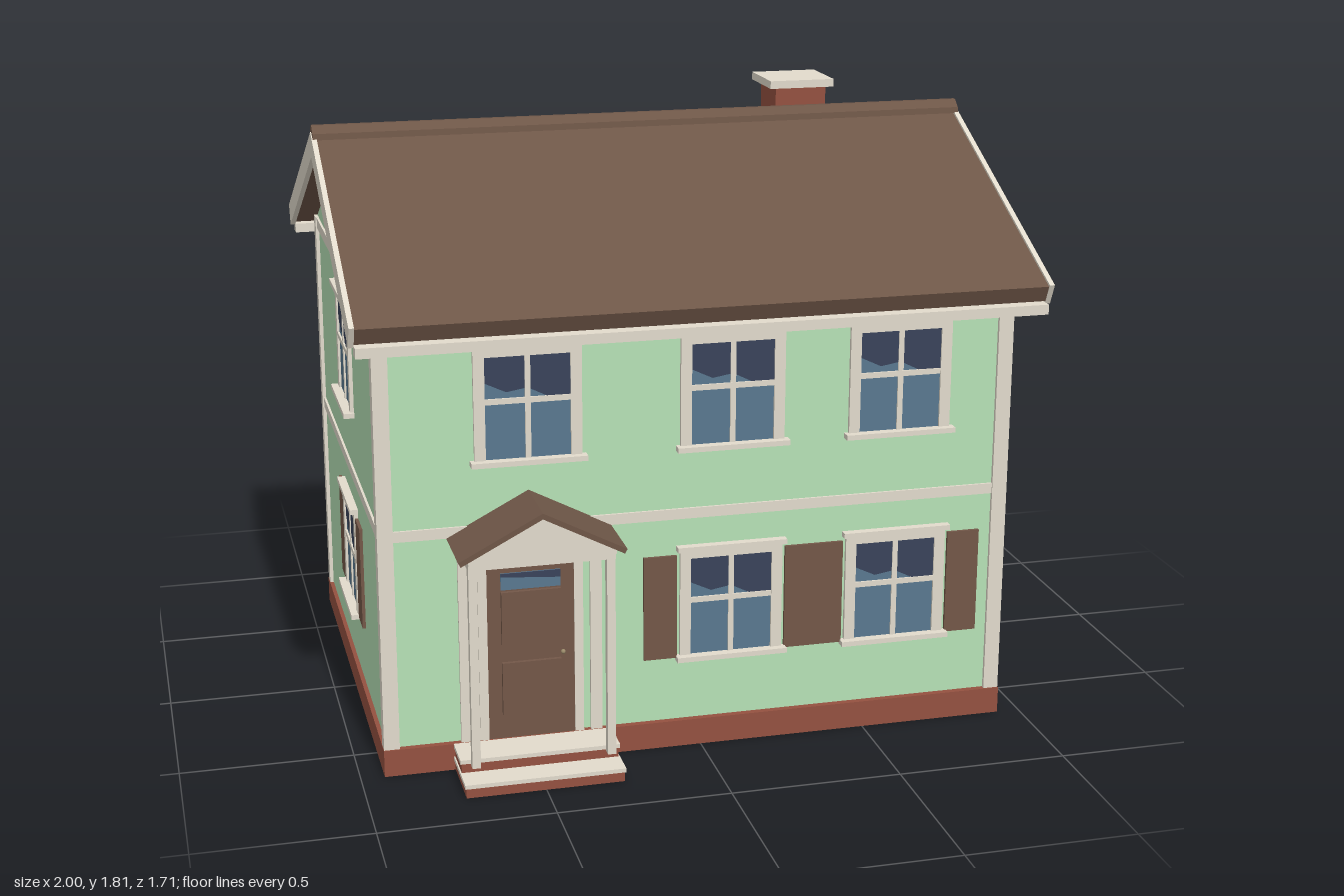
import * as THREE from 'three';

const paint = (name, color, side = THREE.FrontSide) => {
  const m = new THREE.MeshStandardMaterial({ color, side });
  m.name = name;
  return m;
};

export function createModel() {
  const siding = paint('green siding', 0xb6e1b6);
  const trim = paint('cream trim', 0xe2dbcc);
  const brick = paint('red brick', 0x945140, THREE.DoubleSide);
  const shingle = paint('brown shingle', 0x6e5647);
  const wood = paint('brown wood', 0x735748);
  const glass = paint('blue glass', 0x59788f);
  const glassDark = paint('dark glass', 0x39435a);
  const metal = paint('knob metal', 0x9a8a6a);

  const house = new THREE.Group();
  house.name = 'house';
  const CZ = -0.04; // depth of the ridge line

  const add = (parent, name, geometry, material) => {
    const mesh = new THREE.Mesh(geometry, material);
    mesh.name = name;
    parent.add(mesh);
    return mesh;
  };
  // Box given by its lower and upper limits
  const box = (parent, name, mat, x0, x1, y0, y1, z0, z1) => {
    const m = add(parent, name, new THREE.BoxGeometry(x1 - x0, y1 - y0, z1 - z0), mat);
    m.position.set((x0 + x1) / 2, (y0 + y1) / 2, (z0 + z1) / 2);
    return m;
  };
  // Box without its bottom face, hollow when seen from below
  const openBox = (...args) => {
    const { geometry } = box(...args);
    const index = Array.from(geometry.index.array);
    index.splice(18, 6);
    geometry.setIndex(index);
    geometry.clearGroups();
  };
  const prism = (points, depth) => new THREE.ExtrudeGeometry(
    new THREE.Shape(points.map(([x, y]) => new THREE.Vector2(x, y))),
    { depth, bevelEnabled: false });
  // Gable-shaped profile swept along x from x0 to x1
  const sweepX = (name, mat, points, x0, x1) => {
    const m = add(house, name, prism(points, x1 - x0).rotateY(Math.PI / 2), mat);
    m.position.set(x0, 0, CZ);
  };
  // Inverted V with square-cut ends: half width, end height, apex height, thickness
  const chevron = (w, yEnd, yTop, t) => {
    const a = Math.atan2(yTop - yEnd, w);
    const wi = w - t * Math.sin(a), yi = yEnd - t * Math.cos(a);
    return [[-w, yEnd], [-wi, yi], [0, yTop - t / Math.cos(a)], [wi, yi], [w, yEnd], [0, yTop]];
  };

  // Hollow foundation and walls
  openBox(house, 'foundation', brick, -0.932, 0.932, 0, 0.08, CZ - 0.705, CZ + 0.705);
  sweepX('walls', siding,
    [[-0.69, 0.082], [0.69, 0.082], [0.69, 1.345], [0, 1.667], [-0.69, 1.345]], -0.92, 0.92);

  // Corner boards and horizontal bands
  for (const sx of [-1, 1]) for (const sz of [-1, 1]) {
    const x = sx * 0.9085, z = CZ + sz * 0.6785;
    box(house, 'cornerBoard', trim, x - 0.0225, x + 0.0225, 0.08, 1.342, z - 0.0225, z + 0.0225);
  }
  box(house, 'storeyBand', trim, -0.927, 0.927, 0.702, 0.733, CZ - 0.697, CZ + 0.697);
  box(house, 'gableBand', trim, -0.927, 0.927, 1.306, 1.34, CZ - 0.69, CZ + 0.69);

  // Roof, rake boards, ridge cap and gutters
  sweepX('roof', shingle, chevron(0.812, 1.35, 1.73, 0.052), -0.986, 0.986);
  for (const x of [-1, 0.985]) {
    sweepX('rakeBoard', trim, chevron(0.817, 1.355, 1.737, 0.067), x, x + 0.015);
  }
  sweepX('ridgeCap', shingle,
    [[-0.036, 1.718], [0.036, 1.718], [0.033, 1.736], [0.008, 1.757], [-0.008, 1.757], [-0.033, 1.736]], -0.997, 0.997);
  for (const s of [-1, 1]) {
    const z = CZ + s * 0.795;
    box(house, 'gutter', trim, -0.985, 0.985, 1.27, 1.299, z - 0.022, z + 0.022);
  }

  // Chimney
  box(house, 'chimney', brick, 0.462, 0.624, 1.5, 1.79, -0.347, -0.187);
  box(house, 'chimneyCap', trim, 0.44, 0.645, 1.788, 1.812, -0.373, -0.17);

  // Window facing +z with its wall at z = 0 and the glass centre at the origin
  const makeWindow = (shutters) => {
    const g = new THREE.Group();
    g.name = 'window';
    const w = 0.123, h = 0.148;
    box(g, 'glass', glass, -w, w, -h, h, 0, 0.004);
    // Slanted dark reflection in the upper part
    const shade = add(g, 'glassReflection', prism(
      [[-w, h], [-w, 0.075], [-0.06, 0.045], [0, 0.055], [0.06, 0.025], [w, 0.02], [w, h]], 0.002), glassDark);
    shade.position.z = 0.004;
    for (const s of [-1, 1]) {
      const x = s * 0.137;
      box(g, 'sideCasing', trim, x - 0.016, x + 0.016, -h, 0.175, 0, 0.011);
      if (shutters) {
        const c = s * 0.211;
        box(g, 'shutter', wood, c - 0.049, c + 0.049, -0.155, 0.16, 0, 0.0095);
      }
    }
    box(g, 'headCasing', trim, -w, w, h, 0.175, 0, 0.011);
    box(g, 'headCap', trim, -0.163, 0.163, 0.173, 0.188, 0, 0.025);
    box(g, 'sill', trim, -0.165, 0.165, -0.163, -h, 0, 0.032);
    box(g, 'verticalBar', trim, -0.008, 0.008, -h, h, 0, 0.009);
    box(g, 'meetingRail', trim, -w, w, 0.012, 0.028, 0, 0.01);
    return g;
  };
  const UPPER = 1.07, LOWER = 0.432;
  const place = (x, y, z, turn) => {
    const g = makeWindow(y === LOWER);
    g.position.set(x, y, z);
    g.rotation.y = turn;
    house.add(g);
  };
  for (const x of [-0.5, 0.09, 0.59]) place(x, UPPER, 0.65, 0);
  for (const x of [0.09, 0.59]) place(x, LOWER, 0.65, 0);
  for (const y of [UPPER, LOWER]) {
    for (const x of [0.455, -0.415]) place(x, y, -0.73, Math.PI);
    for (const s of [-1, 1]) place(s * 0.92, y, CZ, s * Math.PI / 2);
  }

  // Entrance, centred on its own x = 0 and with the wall at z = 0
  const entry = new THREE.Group();
  entry.name = 'entrance';
  entry.position.set(-0.501, 0, 0.65);
  house.add(entry);

  // Door with panels, light and knob
  box(entry, 'door', wood, -0.126, 0.126, 0.08, 0.605, 0, 0.008);
  for (const [y0, y1] of [[0.155, 0.315], [0.37, 0.53]]) {
    box(entry, 'doorPanel', wood, -0.086, 0.086, y0, y1, 0, 0.02);
  }
  box(entry, 'doorGlass', glass, -0.086, 0.086, 0.535, 0.585, 0.006, 0.012);
  const shade = add(entry, 'doorGlassReflection',
    prism([[-0.086, 0.585], [-0.086, 0.575], [0.086, 0.562], [0.086, 0.585]], 0.002), glassDark);
  shade.position.z = 0.012;
  const knob = add(entry, 'doorKnob', new THREE.SphereGeometry(0.007, 12, 8), metal);
  knob.position.set(0.092, 0.333, 0.014);
  box(entry, 'doorHeadCasing', trim, -0.152, 0.152, 0.605, 0.635, 0, 0.011);

  for (const s of [-1, 1]) {
    // Casing, pilaster and porch post on each side
    const c = s * 0.139, p = s * 0.19, q = s * 0.194;
    box(entry, 'doorSideCasing', trim, c - 0.013, c + 0.013, 0.08, 0.605, 0, 0.011);
    box(entry, 'pilaster', trim, p - 0.017, p + 0.017, 0.08, 0.68, 0, 0.01);
    box(entry, 'porchPost', trim, q - 0.012, q + 0.012, 0.08, 0.68, 0.164, 0.188);
  }

  // Porch beam, pediment and thin roof
  box(entry, 'porchBeam', trim, -0.207, 0.207, 0.67, 0.69, 0, 0.192);
  add(entry, 'pediment',
    prism([[-0.207, 0.688], [0.207, 0.688], [0.207, 0.7], [0, 0.808], [-0.207, 0.7]], 0.2), trim);
  add(entry, 'porchRoof', prism(chevron(0.236, 0.702, 0.825, 0.015), 0.207), shingle);

  // Steps: brick risers with cream treads
  for (const [y, z] of [[0, 0.208], [0.04, 0.13]]) {
    openBox(entry, 'stepRiser', brick, -0.227, 0.227, y, y + 0.03, 0.015, z - 0.004);
    box(entry, 'stepTread', trim, -0.231, 0.231, y + 0.029, y + 0.041, 0.015, z);
  }
  return house;
}
